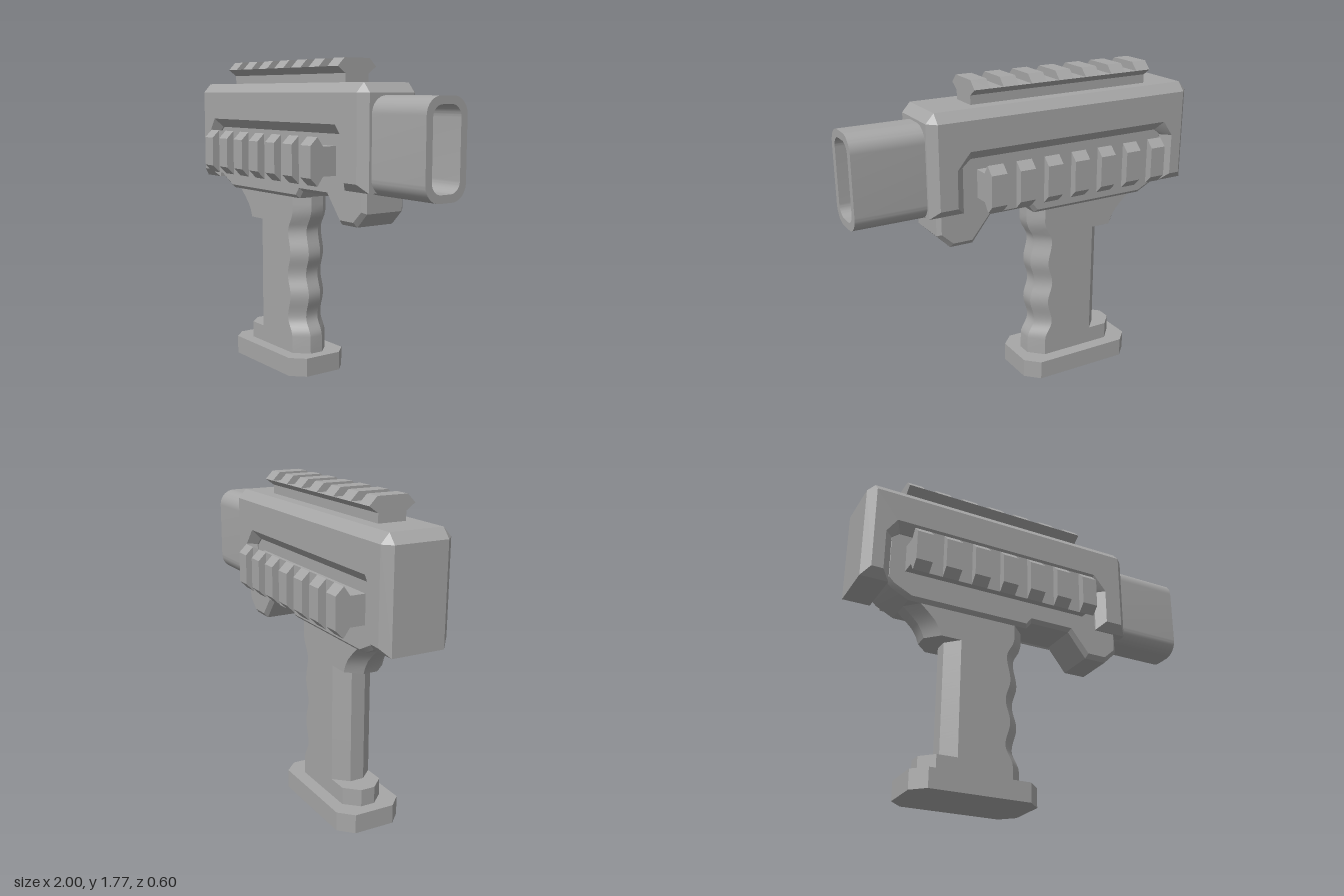
import * as THREE from 'three';
import { toCreasedNormals } from 'three/addons/utils/BufferGeometryUtils.js';

// Solid through rings of [u, v] points (counterclockwise), each ring at height h along z
function loft(rings) {
  const pos = [];
  const put = (ring, i) => pos.push(ring.pts[i][0], ring.pts[i][1], ring.h);
  const n = rings[0].pts.length;
  for (let r = 0; r < rings.length - 1; r++) {
    const a = rings[r], b = rings[r + 1];
    for (let i = 0; i < n; i++) {
      const j = (i + 1) % n;
      put(a, i); put(a, j); put(b, j);
      put(a, i); put(b, j); put(b, i);
    }
  }
  const cap = (ring, flip) => {
    const contour = ring.pts.map(([u, v]) => new THREE.Vector2(u, v));
    for (const [a, b, c] of THREE.ShapeUtils.triangulateShape(contour, [])) {
      for (const i of flip ? [a, c, b] : [a, b, c]) put(ring, i);
    }
  };
  cap(rings[0], true);
  cap(rings[rings.length - 1], false);
  const geo = new THREE.BufferGeometry();
  geo.setAttribute('position', new THREE.Float32BufferAttribute(pos, 3));
  return toCreasedNormals(geo, 0.4);
}

// Slab with bevelled edges on both sides; pairs are [rimX, rimY, faceX, faceY]
function bevelledSlab(pairs, zRim, zFace) {
  const rim = pairs.map(p => [p[0], p[1]]);
  const face = pairs.map(p => [p[2], p[3]]);
  return loft([
    { pts: face, h: -zFace }, { pts: rim, h: -zRim },
    { pts: rim, h: zRim }, { pts: face, h: zFace },
  ]);
}

// Prism along x with a (z, y) profile
const alongX = (pts, x0, x1) => loft([{ pts, h: x0 }, { pts, h: x1 }]).rotateY(Math.PI / 2);

// Rounded rectangle for the barrel shroud
function roundedRect(Target, w, h, r) {
  const s = new Target();
  s.absarc(w - r, h - r, r, 0, Math.PI / 2);
  s.absarc(r - w, h - r, r, Math.PI / 2, Math.PI);
  s.absarc(r - w, r - h, r, Math.PI, Math.PI * 1.5);
  s.absarc(w - r, r - h, r, Math.PI * 1.5, Math.PI * 2);
  s.closePath();
  return s;
}

// Interpolate rows of [y, x], eased for the finger grooves
function sample(keys, y) {
  for (let i = 0; i < keys.length - 1; i++) {
    const [y0, x0] = keys[i], [y1, x1] = keys[i + 1];
    if (y <= y1) {
      const t = (y - y0) / (y1 - y0);
      return x0 + (x1 - x0) * (1 - Math.cos(Math.PI * t)) / 2;
    }
  }
  return keys[keys.length - 1][1];
}

export function createModel() {
  const model = new THREE.Group();
  const grey = new THREE.MeshStandardMaterial({ color: 0xa6a6a6 });
  grey.name = 'grey';
  const add = (name, geo, parent = model) => {
    const mesh = new THREE.Mesh(geo, grey);
    mesh.name = name;
    parent.add(mesh);
    return mesh;
  };

  // Upper shell: chamfered block with a wide cutout in its lower side
  add('upperShell', bevelledSlab([
    [-1, 1.07, -0.955, 1.115], [-0.845, 1.07, -0.89, 1.115],
    [-0.845, 1.345, -0.89, 1.345], [-0.8, 1.38, -0.83, 1.43],
    [0.375, 1.38, 0.395, 1.43], [0.42, 1.34, 0.47, 1.34],
    [0.42, 1.095, 0.47, 1.14], [0.615, 1.095, 0.57, 1.14],
    [0.615, 1.59, 0.57, 1.59], [0.57, 1.64, 0.57, 1.59],
    [-0.955, 1.64, -0.955, 1.59], [-1, 1.59, -0.955, 1.59],
  ], 0.145, 0.19));

  // Inner body filling the cutout, with the hooked lug under the front
  add('innerBody', bevelledSlab([
    [-0.82, 1.06, -0.81, 1.08], [-0.72, 1.01, -0.71, 1.03],
    [-0.02, 1.01, -0.03, 1.03], [0.01, 1.05, 0, 1.07],
    [0.25, 1.05, 0.26, 1.07], [0.36, 0.91, 0.37, 0.935],
    [0.49, 0.91, 0.48, 0.935], [0.565, 0.985, 0.545, 0.995],
    [0.565, 1.4, 0.545, 1.4], [0.5, 1.45, 0.5, 1.43],
    [-0.86, 1.45, -0.84, 1.43], [-0.86, 1.1, -0.84, 1.11],
  ], 0.115, 0.137));

  // Hollow barrel shroud
  const tube = roundedRect(THREE.Shape, 0.13, 0.249, 0.09);
  tube.holes.push(roundedRect(THREE.Path, 0.09, 0.209, 0.06));
  const tubeGeo = new THREE.ExtrudeGeometry(tube, { depth: 0.435, bevelEnabled: false, curveSegments: 8 });
  tubeGeo.rotateY(Math.PI / 2).translate(0.565, 1.327, 0);
  add('barrelShroud', toCreasedNormals(tubeGeo, 0.4));

  // Accessory rails: full-length base and seven teeth
  const baseProfile = [[-0.077, -0.04], [0.077, -0.04], [0.077, 0.048],
    [0.126, 0.083], [-0.126, 0.083], [-0.077, 0.048]];
  const toothProfile = [[-0.126, 0.083], [0.126, 0.083], [0.083, 0.127], [-0.083, 0.127]];
  const addRail = (name, y, z, tilt) => {
    const rail = new THREE.Group();
    rail.name = name;
    add('railBase', alongX(baseProfile, -0.755, 0.335), rail);
    for (let i = 0; i < 7; i++) {
      const x = -0.755 + i * 0.1667;
      add('railTooth', alongX(toothProfile, x, x + 0.09), rail);
    }
    rail.position.set(0, y, z);
    rail.rotation.x = tilt;
    model.add(rail);
  };
  addRail('topRail', 1.64, 0, 0);
  addRail('frontSideRail', 1.24, 0.171, Math.PI / 2);
  addRail('backSideRail', 1.24, -0.171, -Math.PI / 2);

  // Grip: chamfered section, stepped back edge, finger grooves along the front
  const frontEdge = [[0.1, -0.025], [0.2, -0.027], [0.31, -0.07], [0.44, -0.043],
    [0.56, -0.07], [0.68, -0.043], [0.81, -0.065], [0.93, -0.018], [1.05, -0.018]];
  const gripRing = (y, back) => {
    const f = sample(frontEdge, y);
    return { h: y, pts: [[back, -0.04], [back + 0.07, -0.115], [f - 0.075, -0.115], [f, -0.04],
      [f, 0.04], [f - 0.075, 0.115], [back + 0.07, 0.115], [back, 0.04]] };
  };
  const rings = [gripRing(0.09, -0.595), gripRing(0.2, -0.595)];
  for (let i = 0; i <= 36; i++) rings.push(gripRing(0.2 + 0.65 * i / 36, -0.48));
  for (const [y, back] of [[0.85, -0.595], [0.89, -0.61], [0.93, -0.635], [0.97, -0.675],
    [1.01, -0.72], [1.04, -0.72]]) rings.push(gripRing(y, back));
  add('grip', loft(rings).rotateX(-Math.PI / 2));

  // Base plate with cut corners
  const c = 0.073, x0 = -0.663, x1 = 0.04, d = 0.187;
  const plate = [[x0 + c, -d], [x1 - c, -d], [x1, c - d], [x1, d - c],
    [x1 - c, d], [x0 + c, d], [x0, d - c], [x0, c - d]];
  add('basePlate', loft([{ pts: plate, h: 0 }, { pts: plate, h: 0.105 }]).rotateX(-Math.PI / 2));

  return model;
}
